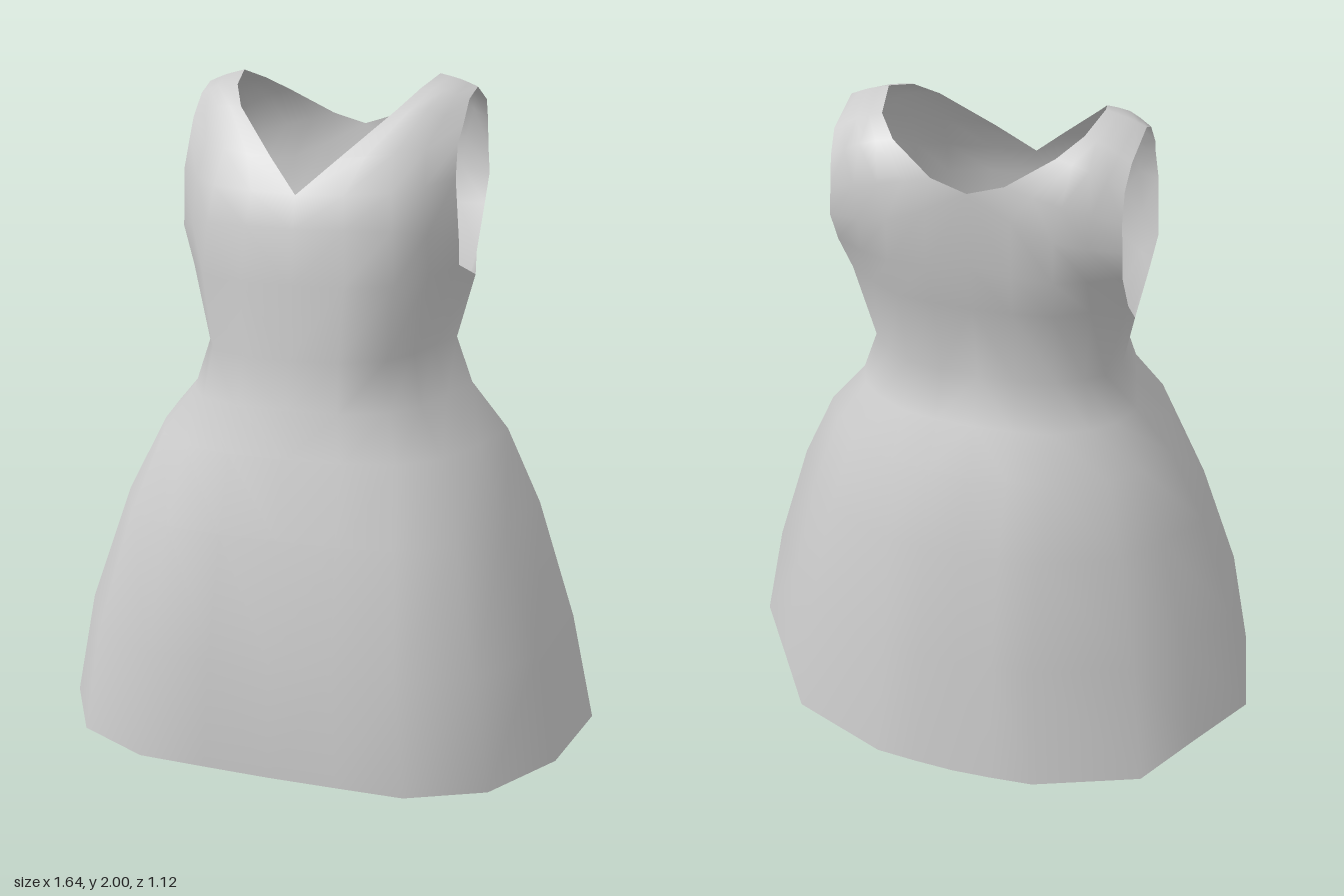
import * as THREE from 'three';
import { mergeVertices } from 'three/addons/utils/BufferGeometryUtils.js';

// Half cross-sections [x, z], running from centre front round the side to centre back
const HEM = [[0, .56], [.2, .56], [.4, .56], [.62, .47], [.765, .23], [.82, -.09],
  [.69, -.26], [.56, -.43], [.25, -.55], [.12, -.56], [0, -.565]];
const HEM_Y = [.06, .062, .065, .075, .075, .075, .04, 0, 0, 0, 0];
const WAIST = [[0, .355], [.14, .35], [.26, .28], [.31, .18], [.335, .05], [.37, -.08],
  [.34, -.16], [.29, -.2], [.22, -.245], [.11, -.265], [0, -.27]];

// Skirt levels: height, half width, front depth, back depth, blend from hem shape to waist shape
const LEVELS = [
  [.4, .75, .55, .52, 0],
  [.75, .635, .48, .455, .2],
  [.97, .53, .42, .385, .5],
  [1.1, .42, .385, .32, .8],
  [1.24, .37, .355, .27, 1],
];

// Bodice rows from the chest, over the shoulder and down the back:
// neckline (or centre) point, middle point, armhole point
const BODICE = [
  [[0, 1.45, .345], [.28, 1.45, .295], [.405, 1.48, .06]],
  [[0, 1.6, .325], [.27, 1.6, .28], [.415, 1.56, .11]],
  [[0, 1.69, .3], [.26, 1.7, .25], [.405, 1.73, .12]],
  [[.1, 1.785, .225], [.25, 1.8, .195], [.4, 1.82, .085]],
  [[.23, 1.91, .11], [.31, 1.91, .09], [.405, 1.87, .045]],
  [[.275, 1.965, .02], [.34, 1.96, .01], [.405, 1.935, -.02]],
  [[.3, 2, -.1], [.36, 1.985, -.1], [.41, 1.965, -.1]],
  [[.275, 1.97, -.22], [.34, 1.955, -.235], [.405, 1.92, -.24]],
  [[.22, 1.93, -.29], [.31, 1.91, -.3], [.4, 1.86, -.285]],
  [[.1, 1.86, -.345], [.25, 1.82, -.34], [.4, 1.78, -.3]],
  [[0, 1.83, -.35], [.23, 1.72, -.345], [.405, 1.7, -.305]],
  [[0, 1.62, -.345], [.23, 1.6, -.34], [.4, 1.61, -.27]],
  [[0, 1.48, -.32], [.22, 1.48, -.3], [.4, 1.48, -.18]],
];

const toVectors = (row) => row.map((p) => new THREE.Vector3(...p));

function skirtRing([y, w, f, b, t]) {
  return HEM.map(([hx, hz], i) => {
    const [wx, wz] = WAIST[i];
    const x = THREE.MathUtils.lerp(hx / .82, wx / .37, t) * w;
    const hn = hz > 0 ? hz / .56 : hz / .565;
    const wn = wz > 0 ? wz / .355 : wz / .27;
    const n = THREE.MathUtils.lerp(hn, wn, t);
    return new THREE.Vector3(x, y, n > 0 ? n * f : n * b);
  });
}

// Adds a grid of quads and its mirror image to a triangle list
function addGrid(rows, out) {
  const tri = (a, b, c) => {
    for (const p of [a, b, c]) out.push(p.x, p.y, p.z);
    for (const p of [a, c, b]) out.push(-p.x, p.y, p.z);
  };
  for (let j = 0; j < rows.length - 1; j++) {
    for (let i = 0; i < rows[j].length - 1; i++) {
      const a = rows[j][i], b = rows[j][i + 1];
      const c = rows[j + 1][i + 1], d = rows[j + 1][i];
      tri(a, b, c);
      tri(a, c, d);
    }
  }
}

export function createModel() {
  const fabric = new THREE.MeshStandardMaterial({ color: 0xcccccc, side: THREE.DoubleSide });
  fabric.name = 'grey fabric';

  // Bodice panels and shoulder straps
  const bodice = BODICE.map((row) => new THREE.CatmullRomCurve3(toVectors(row)).getPoints(4));

  // Skirt and waist, closed at the sides just under the armholes
  const hem = HEM.map(([x, z], i) => new THREE.Vector3(x, HEM_Y[i], z));
  const underarm = new THREE.Vector3(.41, 1.42, -.13);
  const chest = [...bodice[0], underarm, ...[...bodice[bodice.length - 1]].reverse()];
  const skirt = [hem, ...LEVELS.map(skirtRing), chest];

  // One welded cloth surface, so shading stays smooth across the seams
  const positions = [];
  addGrid(skirt, positions);
  addGrid(bodice, positions);
  let geometry = new THREE.BufferGeometry();
  geometry.setAttribute('position', new THREE.Float32BufferAttribute(positions, 3));
  geometry = mergeVertices(geometry, 1e-4);
  geometry.computeVertexNormals();

  const dress = new THREE.Mesh(geometry, fabric);
  dress.name = 'dress';
  const group = new THREE.Group();
  group.name = 'sleeveless dress';
  group.add(dress);
  return group;
}
